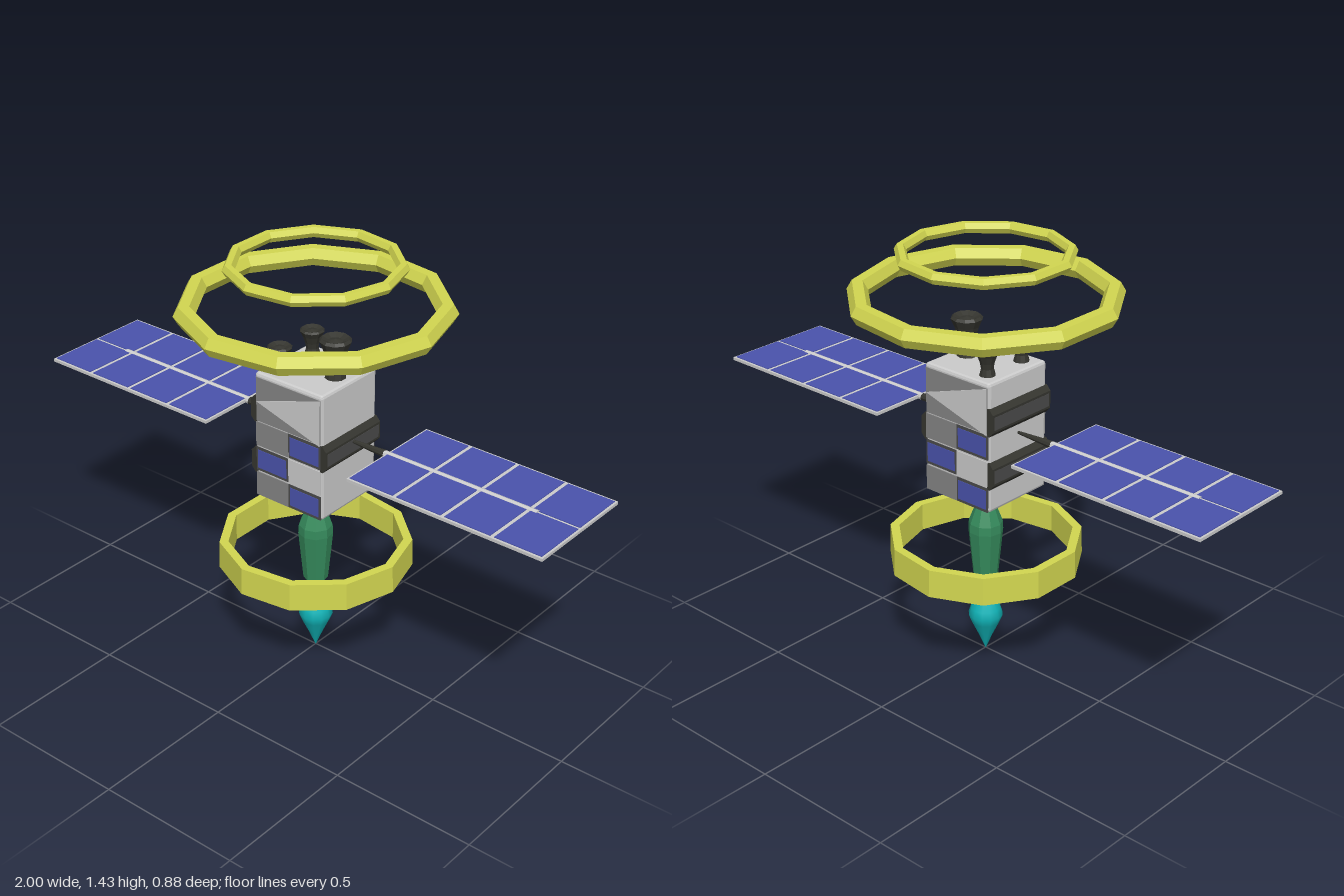
import * as THREE from 'three';
import { RoundedBoxGeometry } from 'three/addons/geometries/RoundedBoxGeometry.js';

const flat = (color) => new THREE.MeshStandardMaterial({ color, flatShading: true });
const smooth = (color) => new THREE.MeshStandardMaterial({ color });
const yellow = flat(0xd2d650), blue = flat(0x4a53ac), grey = flat(0xcccccc);
const midGrey = flat(0x858585), darkGrey = flat(0x4a4a4a), black = flat(0x35352f);
const green = flat(0x358a5c), cyan = smooth(0x10b4b8);

function add(parent, name, geometry, material, x = 0, y = 0, z = 0) {
  const mesh = new THREE.Mesh(geometry, material);
  mesh.name = name;
  mesh.position.set(x, y, z);
  parent.add(mesh);
  return mesh;
}
const box = (w, h, d) => new THREE.BoxGeometry(w, h, d);
const lathe = (points, sides) =>
  new THREE.LatheGeometry(points.map(([r, y]) => new THREE.Vector2(r, y)), sides);

// Prism running along z with its outline in x and y
function prism(points, depth) {
  const shape = new THREE.Shape(points.map(([x, y]) => new THREE.Vector2(x, y)));
  return new THREE.ExtrudeGeometry(shape, { depth, bevelEnabled: false }).translate(0, 0, -depth / 2);
}

// Eleven-sided halo with a six-sided section
function halo(parent, name, radius, tube, y) {
  add(parent, name, new THREE.TorusGeometry(radius, tube, 6, 11).rotateX(-Math.PI / 2), yellow, 0, y);
}

// Panel cells and wedge, used on the front and the back
function facePanels() {
  const face = new THREE.Group();
  face.name = 'facePanels';
  add(face, 'upperPlate', box(0.262, 0.155, 0.006), midGrey, 0, 0.968, 0.135);
  const wedge = prism([[-0.13, 0.96], [0.13, 0.885], [0.13, 1.045]], 0.004);
  add(face, 'wedgePlate', wedge, grey, 0, 0, 0.138);
  const rows = [0.844, 0.752, 0.66];
  rows.forEach((y, row) => {
    [-1, 1].forEach((side) => {
      const solar = (row % 2 === 0) === (side > 0);
      const x = side * 0.067;
      if (solar) {
        add(face, 'cellFrame', box(0.132, 0.086, 0.006), darkGrey, x, y, 0.135);
        add(face, 'solarCell', box(0.118, 0.066, 0.006), blue, x, y, 0.137);
      } else {
        add(face, 'plainCell', box(0.132, 0.086, 0.006), row === 1 ? grey : midGrey, x, y, 0.136);
      }
    });
  });
  return face;
}

// Chamfered band across a side face, facing +x
function sideBand(parent, y, side) {
  const band = new THREE.Group();
  band.name = 'sideBand';
  add(band, 'bandFrame', prism([[0.13, -0.047], [0.14, -0.047], [0.155, -0.03],
    [0.155, 0.03], [0.14, 0.047], [0.13, 0.047]], 0.274), black);
  add(band, 'bandInset', box(0.01, 0.044, 0.26), darkGrey, 0.151, 0, 0);
  band.position.y = y;
  band.rotation.y = side > 0 ? 0 : Math.PI;
  parent.add(band);
}

// Thruster bell with a narrow waist and a sunken mouth
function thruster(parent, x, z, radius, height) {
  const profile = [[0.68, 0], [0.5, 0.3], [0.58, 0.5], [0.78, 0.75], [1, 0.94], [0.85, 1], [0.45, 0.93], [0, 0.98]];
  add(parent, 'thruster', lathe(profile.map(([r, h]) => [r * radius, h * height]), 10), black, x, 1.055, z);
}

// Solar wing extending to +x
function solarWing() {
  const wing = new THREE.Group();
  wing.name = 'solarWing';
  add(wing, 'wingFrame', box(0.71, 0.01, 0.41), grey, 0.645);
  const pitch = 0.71 / 4;
  for (let i = 0; i < 4; i++) {
    for (const z of [-0.101, 0.101]) {
      add(wing, 'wingCell', box(pitch - 0.014, 0.015, 0.192), blue, 0.29 + pitch * (i + 0.5), 0, z);
    }
  }
  const along = (r1, r2, length) => new THREE.CylinderGeometry(r1, r2, length, 8).rotateZ(-Math.PI / 2);
  add(wing, 'wingSpar', along(0.012, 0.012, 0.57), grey, 0.565);
  add(wing, 'wingJoint', along(0.013, 0.005, 0.14), black, 0.21);
  return wing;
}

export function createModel() {
  const model = new THREE.Group();
  model.name = 'satellite';

  // Main body
  const body = new THREE.Group();
  body.name = 'body';
  add(body, 'bodyShell', new RoundedBoxGeometry(0.276, 0.445, 0.272, 1, 0.01), grey, 0, 0.8375);
  const front = facePanels(), back = facePanels();
  back.rotation.y = Math.PI;
  body.add(front, back);
  sideBand(body, 0.84, 1);
  sideBand(body, 0.93, -1);
  sideBand(body, 0.745, -1);
  model.add(body);

  // Thrusters on the roof
  thruster(model, 0.08, 0, 0.053, 0.14);
  for (const z of [-0.08, 0.08]) thruster(model, -0.08, z, 0.041, 0.095);

  // Wings
  const left = solarWing(), right = solarWing();
  right.rotation.y = Math.PI;
  for (const wing of [left, right]) {
    wing.position.y = 0.855;
    model.add(wing);
  }

  // Halos
  halo(model, 'topHalo', 0.27, 0.02, 1.418);
  halo(model, 'largeHalo', 0.41, 0.035, 1.277);
  const hoop = lathe([[0.292, 0.355], [0.325, 0.355], [0.322, 0.45], [0.292, 0.45], [0.292, 0.355]], 11);
  add(model, 'lowerHoop', hoop.rotateY(Math.PI / 2), yellow);

  // Probe under the body
  add(model, 'probeRod', new THREE.CylinderGeometry(0.016, 0.016, 0.1, 8), grey, 0, 0.58);
  add(model, 'probeBody', lathe([[0, 0.262], [0.026, 0.262], [0.042, 0.285], [0.059, 0.46],
    [0.057, 0.49], [0.036, 0.545], [0, 0.55]], 9), green);
  add(model, 'probeTip', lathe([[0.001, 0.004], [0.024, 0.06], [0.047, 0.11], [0.059, 0.14],
    [0.051, 0.165], [0.018, 0.265], [0, 0.265]], 12), cyan);
  return model;
}
